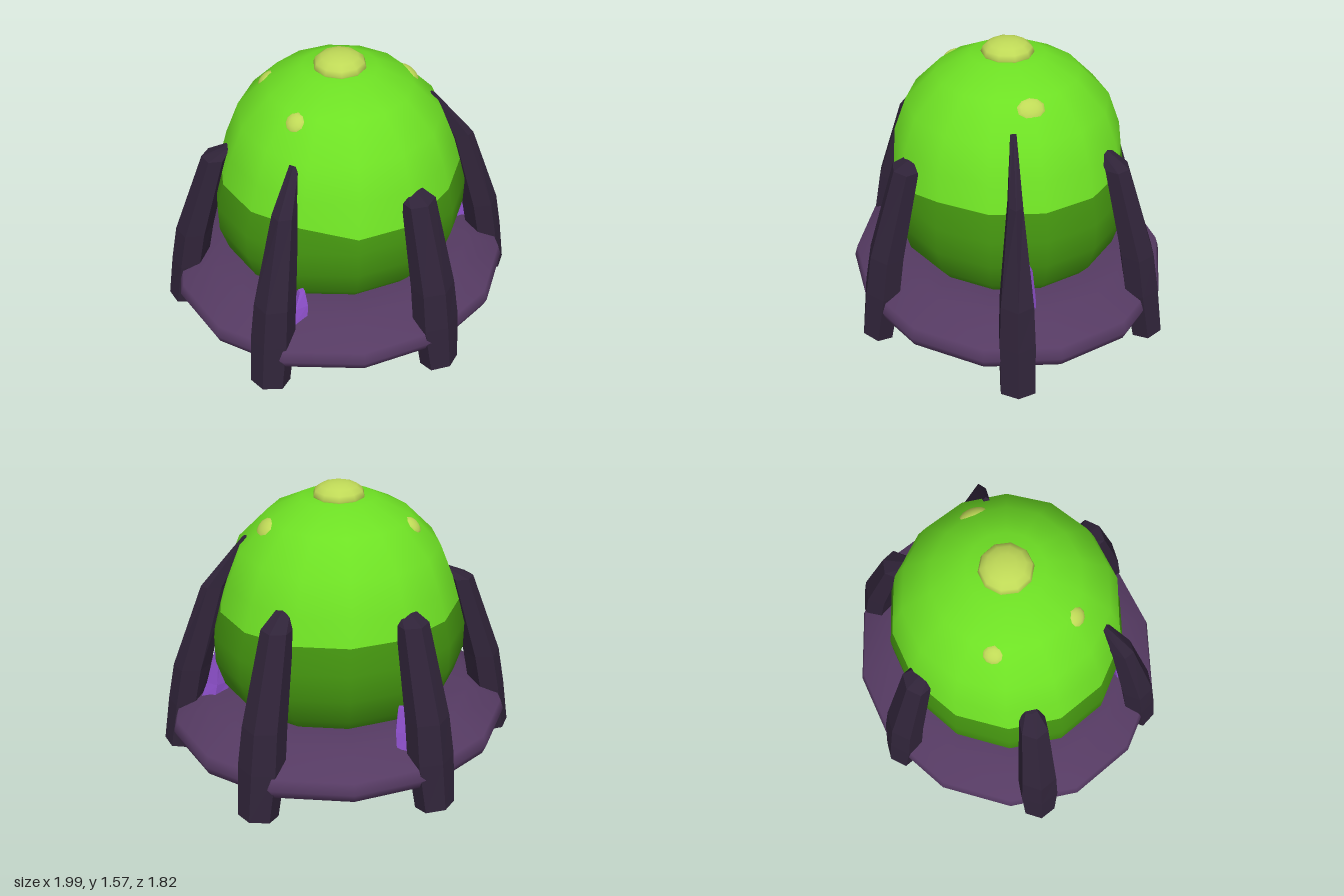
import * as THREE from 'three';

const mat = (name, color) => {
  const m = new THREE.MeshStandardMaterial({ color });
  m.name = name;
  return m;
};

export function createModel() {
  const model = new THREE.Group();
  model.name = 'domedPod';
  const basePurple = mat('base purple', 0x553a62);
  const legDark = mat('leg dark purple', 0x2f2338);
  const limeGreen = mat('bright green', 0x6ee024);
  const deepGreen = mat('deep green', 0x43930f);
  const spotYellow = mat('spot yellow', 0xbfd957);
  const shardViolet = mat('shard violet', 0x8c4fc9);

  const add = (name, geometry, material) => {
    const mesh = new THREE.Mesh(geometry, material);
    mesh.name = name;
    model.add(mesh);
    return mesh;
  };

  // 14-sided turned solid, with a vertex at +x; each vertex is then adjusted
  const SIDES = 14;
  const turned = (profile, adjust) => {
    const geo = new THREE.LatheGeometry(
      profile.map(([r, y]) => new THREE.Vector2(r, y)), SIDES, Math.PI / 2);
    const p = geo.attributes.position;
    for (let i = 0; i < p.count; i++) {
      const v = new THREE.Vector3().fromBufferAttribute(p, i);
      adjust(v);
      p.setXYZ(i, v.x, v.y, v.z);
    }
    return geo;
  };

  // Oval base disc
  const DEPTH = 0.92;
  add('baseDisc', turned(
    [[0, 0.14], [0.84, 0.14], [0.9, 0.145], [0.95, 0.17], [0.97, 0.22], [0.95, 0.28],
      [0.76, 0.365], [0.6, 0.395], [0, 0.4]],
    (v) => { v.z *= DEPTH; }), basePurple);

  // Body: oval below, rounder towards the top; the colour seam dips at the front
  const SEAM = 0.915;
  const shapeBody = (v) => {
    const front = v.z > 0.6;
    v.z *= THREE.MathUtils.lerp(DEPTH, 1, THREE.MathUtils.smoothstep(v.y, 0.8, 1.15));
    if (Math.abs(v.y - SEAM) < 0.001 && front) v.y -= 0.07;
  };
  add('lowerBody', turned(
    [[0.58, 0.37], [0.665, 0.47], [0.71, 0.62], [0.71, 0.77], [0.668, SEAM]],
    shapeBody), deepGreen);
  add('upperDome', turned(
    [[0.668, SEAM], [0.62, 1.06], [0.545, 1.24], [0.385, 1.4], [0.2, 1.49], [0, 1.5]],
    shapeBody), limeGreen);

  // Raised yellow spots: position, half sizes (x, thickness, z)
  const addSpot = (name, pos, size, normal) => {
    const spot = add(name, new THREE.SphereGeometry(1, 10, 8), spotYellow);
    spot.position.set(...pos);
    spot.scale.set(...size);
    spot.quaternion.setFromUnitVectors(
      new THREE.Vector3(0, 1, 0), new THREE.Vector3(...normal).normalize());
  };
  addSpot('topSpot', [0, 1.5, 0], [0.14, 0.07, 0.14], [0, 1, 0]);
  addSpot('leftSpot', [0.395, 1.352, 0], [0.068, 0.038, 0.08], [0.75, 0.7, 0]);
  for (const s of [1, -1]) {
    addSpot(s > 0 ? 'frontRightSpot' : 'backRightSpot', [-0.325, 1.355, 0.222 * s],
      [0.06, 0.036, 0.06], [-0.62, 0.7, 0.42 * s]);
  }

  // Radial / tangential coordinates to the oval plan
  const place = (angle, r, y, t) => [
    r * Math.cos(angle) - t * Math.sin(angle), y,
    (r * Math.sin(angle) + t * Math.cos(angle)) * DEPTH];

  // Faceted column through sections [r, y, radial half, tangential half, tilt]
  const column = (angle, sections, sides, shift = 0) => {
    const n = sections.length - 1;
    const geo = new THREE.CylinderGeometry(1, 1, 1, sides, n);
    const p = geo.attributes.position;
    for (let i = 0; i < p.count; i++) {
      const [r, y, a, b, tilt] = sections[Math.round((p.getY(i) + 0.5) * n)];
      const u = p.getZ(i), w = -p.getX(i);
      p.setXYZ(i, ...place(angle, r + u * a, y + u * tilt, w * b + shift));
    }
    const flat = geo.toNonIndexed();
    flat.computeVertexNormals();
    return flat;
  };
  const legAngle = (i) => THREE.MathUtils.degToRad(14.5 + 60 * i);

  // Six bent claw legs: tip radius, tip height, half width at the shoulder
  const legs = [
    [0.495, 1.28, 0.045], [0.61, 1.05, 0.095], [0.55, 1.215, 0.065],
    [0.61, 1.05, 0.085], [0.6, 1.06, 0.09], [0.58, 1.09, 0.085]];
  legs.forEach(([tipR, tipY, shoulder], i) => {
    const mid = 0.085 + shoulder * 0.4;
    add(`leg${i + 1}`, column(legAngle(i), [
      [0.935, 0.02, 0.093, 0.11, 0.015],
      [0.88, 0.3, 0.105, mid + 0.01, 0],
      [0.835, 0.52, 0.105, mid, 0],
      [0.68, 1.0, 0.075, shoulder, 0],
      [tipR, tipY, 0.022, shoulder * 0.45, 0]], 6), legDark);
  });

  // Violet shards tucked behind every second leg: leg, side shift, radius, top
  const shards = [[0, -0.07, 0.715, 0.65], [2, -0.085, 0.735, 0.51], [4, 0.09, 0.77, 0.56]];
  shards.forEach(([leg, shift, r, top], i) => {
    add(`shard${i + 1}`, column(legAngle(leg), [
      [r, 0.34, 0.075, 0.05, 0],
      [r - 0.02, 0.43, 0.06, 0.045, 0],
      [r - 0.04, top, 0.02, 0.02, 0]], 4, shift), shardViolet);
  });

  return model;
}
